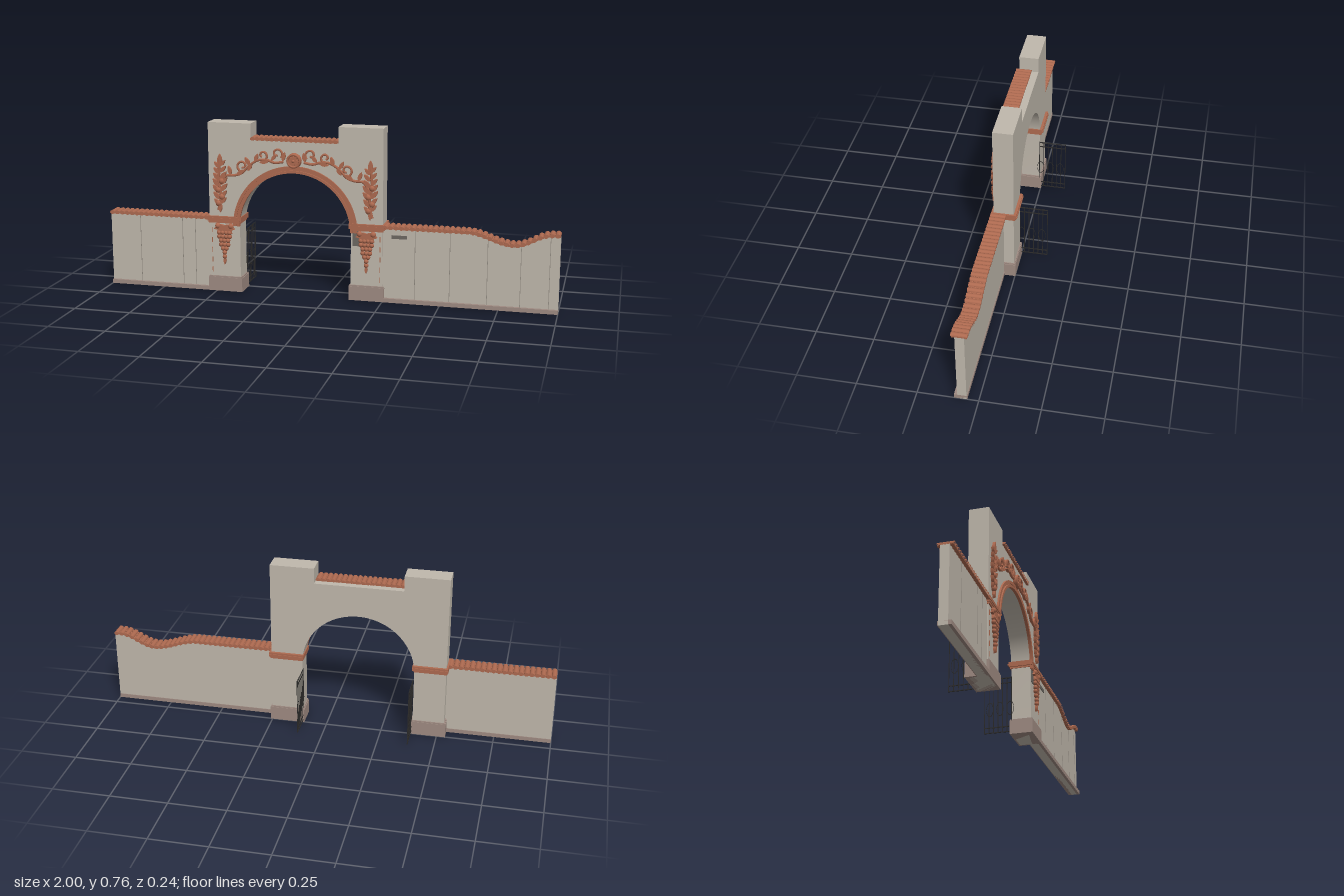
import * as THREE from 'three';
import { toCreasedNormals } from 'three/addons/utils/BufferGeometryUtils.js';

const mat = (name, color) => {
  const m = new THREE.MeshStandardMaterial({ color });
  m.name = name;
  return m;
};

export function createModel() {
  const root = new THREE.Group();
  root.name = 'archedGateway';
  const stucco = mat('stucco', 0xc0b8ac), stone = mat('baseStone', 0x9f8b82);
  const clay = mat('terracotta', 0xae6a50), iron = mat('iron', 0x2c2b2a);
  const slate = mat('slate', 0x6c6862), groove = mat('groove', 0x969086);
  const CX = -0.14, SPRING = 0.3, R = 0.25, FRONT = 0.092;

  const add = (parent, name, geo, material, x = 0, y = 0, z = 0) => {
    const m = new THREE.Mesh(geo, material);
    m.name = name;
    m.position.set(x, y, z);
    parent.add(m);
    return m;
  };
  // box given by its extents
  const box = (parent, name, material, x0, x1, y0, y1, z0, z1) =>
    add(parent, name, new THREE.BoxGeometry(x1 - x0, y1 - y0, z1 - z0), material,
      (x0 + x1) / 2, (y0 + y1) / 2, (z0 + z1) / 2);
  const extrude = (shape, depth, curveSegments = 12) => toCreasedNormals(
    new THREE.ExtrudeGeometry(shape, { depth, bevelEnabled: false, curveSegments }), 0.5);
  const group = name => {
    const g = new THREE.Group();
    g.name = name;
    root.add(g);
    return g;
  };

  // arch body with two raised shoulders
  const body = new THREE.Shape();
  body.moveTo(-0.53, 0);
  body.lineTo(CX - R, 0);
  body.lineTo(CX - R, SPRING);
  body.absarc(CX, SPRING, R, Math.PI, 0, true);
  body.lineTo(CX + R, 0);
  [[0.25, 0], [0.25, 0.757], [0.055, 0.757], [0.055, 0.688], [-0.335, 0.688], [-0.335, 0.757], [-0.53, 0.757]]
    .forEach(([x, y]) => body.lineTo(x, y));
  add(root, 'archBody', extrude(body, 0.087, 40), stucco, 0, 0, 0.005);

  // moulded ring around the arch
  const ring = (name, r0, r1, depth) => {
    const s = new THREE.Shape();
    s.absarc(CX, SPRING, r1, 0, Math.PI, false);
    s.absarc(CX, SPRING, r0, Math.PI, 0, true);
    add(root, name, extrude(s, depth, 40), clay, 0, 0, FRONT - 0.002);
  };
  ring('archRingInner', 0.249, 0.26, 0.013);
  ring('archRingMiddle', 0.26, 0.266, 0.006);
  ring('archRingOuter', 0.266, 0.279, 0.01);

  // roof tiles: half barrels following a height function
  const tileRow = (name, x0, x1, z0, z1, top, count) => {
    const g = group(name), w = (x1 - x0) / count;
    const barrel = new THREE.CylinderGeometry(w * 0.46, w * 0.46, z1 - z0, 8, 1, false, -Math.PI / 2, Math.PI);
    barrel.rotateX(-Math.PI / 2);
    barrel.scale(1, 0.85, 1);
    for (let i = 0; i < count; i++) {
      const x = x0 + w * (i + 0.5);
      const slope = Math.atan2(top(x + w / 2) - top(x - w / 2), w);
      const pan = add(g, 'tilePan', new THREE.BoxGeometry(w / Math.cos(slope), 0.008, z1 - z0 - 0.006), clay,
        x, top(x), (z0 + z1) / 2);
      pan.rotation.z = slope;
      const t = add(g, 'tile', barrel, clay, x, top(x) + 0.002, (z0 + z1) / 2);
      t.rotation.z = slope;
      const under = add(g, 'tileLip', barrel, clay, x, top(x) - 0.002, (z0 + z1) / 2);
      under.rotation.z = slope + Math.PI;
      under.scale.set(0.7, 0.5, 0.98);
    }
  };
  tileRow('crestTiles', -0.335, 0.055, 0.035, 0.104, () => 0.691, 18);

  // side walls, the left one dipping in a wave
  const flat = () => 0.33;
  const wave = x => {
    if (x < 0.61) return 0.33;
    if (x < 0.81) return 0.307 + 0.023 * Math.cos((x - 0.61) / 0.2 * Math.PI);
    if (x < 0.97) return 0.31 - 0.026 * Math.cos((x - 0.81) / 0.16 * Math.PI);
    return 0.336;
  };
  const wall = (name, x0, x1, top, tiles, joints) => {
    const s = new THREE.Shape();
    s.moveTo(x0, 0);
    s.lineTo(x1, 0);
    for (let i = 0; i <= 40; i++) {
      const x = x1 + (x0 - x1) * i / 40;
      s.lineTo(x, top(x) - 0.002);
    }
    add(root, name, extrude(s, 0.038), stucco, 0, 0, 0.049);
    box(root, name + 'Plinth', stone, x0, x1, 0, 0.018, 0.046, 0.1);
    tileRow(name + 'Tiles', x0, x1, 0.036, 0.103, top, tiles);
    joints.forEach(x => box(root, name + 'Joint', groove, x - 0.0012, x + 0.0012, 0.018, top(x) - 0.006, 0.086, 0.0878));
  };
  wall('rightWall', -1, -0.53, flat, 20, [-0.86, -0.66, -0.6]);
  wall('leftWall', 0.25, 1, wave, 32, [0.39, 0.54, 0.7, 0.84, 0.96]);
  box(root, 'wallPlaque', slate, 0.287, 0.355, 0.283, 0.298, 0.086, 0.0905);
  box(root, 'pillarPanel', slate, 0.118, 0.15, 0.242, 0.31, 0.091, 0.095);

  // carved ornament pieces
  const leafShape = new THREE.Shape();
  leafShape.moveTo(0, 0);
  leafShape.quadraticCurveTo(0.32, 0.45, 0, 1);
  leafShape.quadraticCurveTo(-0.32, 0.45, 0, 0);
  const leafGeo = extrude(leafShape, 1, 6);
  const leaf = (g, x, y, len, angle, wide = 1, depth = 0.012) => {
    const m = add(g, 'leaf', leafGeo, clay, x, y, FRONT + 0.001);
    m.scale.set(len * wide, len, depth);
    m.rotation.z = angle;
  };
  const ball = new THREE.SphereGeometry(1, 10, 6);
  const bead = (g, name, x, y, r, z = 0.1) => {
    add(g, name, ball, clay, x, y, z).scale.set(r, r, Math.min(r, 0.011));
  };
  const vine = (g, s, pts, r) => add(g, 'vineStem', new THREE.TubeGeometry(new THREE.CatmullRomCurve3(
    pts.map(([x, y]) => new THREE.Vector3(CX + s * x, y, 0.1))), 36, r, 6), clay);
  // spiral scroll points around a centre
  const scroll = (cx, cy, r, a0, turn) => Array.from({ length: 9 }, (_, i) => {
    const t = i / 8, a = a0 + turn * t, q = r * (1 - 0.75 * t);
    return [cx + q * Math.cos(a), cy + q * Math.sin(a)];
  });

  for (const s of [-1, 1]) {
    const side = s > 0 ? 'left' : 'right';
    const px = CX + s * 0.32; // pillar axis
    const inner = CX + s * R, outer = CX + s * 0.39;
    const [a, b] = [Math.min(inner, outer), Math.max(inner, outer)];

    // pillar base and stepped capital
    box(root, side + 'PillarBase', stone, a - 0.008, b + 0.008, 0, 0.062, -0.002, 0.1);
    box(root, side + 'PillarBaseTop', stone, a - 0.005, b + 0.005, 0.062, 0.068, 0, 0.098);
    [[0.31, 0.318, 0.003], [0.318, 0.325, 0.008], [0.325, 0.333, 0.013], [0.333, 0.341, 0.01]].forEach(([y0, y1, o]) =>
      box(root, side + 'Capital', clay, a - Math.min(o, 0.008), b + Math.min(o, 0.008), y0, y1, 0.003 - o, 0.096 + o * 0.6));
    // row of small inlays near the outer edge
    for (let i = 0; i < 5; i++)
      box(root, side + 'Inlay', clay, outer - s * 0.011 - 0.0015, outer - s * 0.011 + 0.0015,
        0.085 + i * 0.045, 0.108 + i * 0.045, 0.09, 0.0945);

    // scrolling vine over the arch
    const v = group(side + 'Vine');
    vine(v, s, [[0.33, 0.49], [0.305, 0.525], [0.27, 0.528], [0.235, 0.54], [0.2, 0.575], [0.16, 0.6], [0.12, 0.602],
      [0.085, 0.592], [0.045, 0.598]], 0.006);
    vine(v, s, scroll(0.075, 0.632, 0.026, -2.4, -6), 0.005);
    vine(v, s, scroll(0.14, 0.622, 0.024, -1.6, -6), 0.005);
    vine(v, s, scroll(0.232, 0.572, 0.026, -1, 6), 0.005);
    [[0.05, 0.6, 0.04, -0.2], [0.1, 0.6, 0.035, -0.6], [0.175, 0.59, 0.04, -0.3], [0.2, 0.575, 0.04, 0.5],
      [0.19, 0.58, 0.035, 2.6], [0.26, 0.53, 0.045, -1], [0.285, 0.53, 0.04, 0.3], [0.11, 0.6, 0.045, 1.8]]
      .forEach(([x, y, l, r]) => leaf(v, CX + s * x, y, l, -s * r, 1.3));

    // upright foliage spray on the pillar head
    const spray = group(side + 'FoliageSpray'), fx = CX + s * 0.336;
    vine(spray, s, [[0.345, 0.37], [0.332, 0.43], [0.342, 0.5], [0.336, 0.6]], 0.006);
    leaf(spray, fx, 0.565, 0.055, 0, 1.2);
    for (let i = 0; i < 7; i++) {
      const y = 0.39 + i * 0.028, len = 0.05 - Math.abs(i - 2.5) * 0.004;
      leaf(spray, fx, y, len, 0.75, 1.3);
      leaf(spray, fx, y + 0.008, len, -0.75, 1.3);
    }
    [0.4, 0.43, 0.46, 0.5].forEach((y, i) => bead(spray, 'blossom', fx + (i % 2 ? 0.008 : -0.008), y, 0.014));
    leaf(spray, fx, 0.4, 0.04, Math.PI, 1.2);

    // tapering pendant below the capital
    const pendant = group(side + 'Pendant');
    [-1.25, -0.75, -0.3, 0.3, 0.75, 1.25].forEach(r => leaf(pendant, px, 0.3, 0.05, Math.PI + r, 1.4));
    [-1, 1].forEach(k => bead(pendant, 'rosette', px + k * 0.03, 0.298, 0.013));
    for (let row = 0; row < 7; row++) {
      const n = Math.max(1, 4 - Math.floor(row / 1.6));
      for (let i = 0; i < n; i++)
        bead(pendant, 'grape', px + (i - (n - 1) / 2) * 0.016, 0.268 - row * 0.018, 0.0105);
    }
    leaf(pendant, px, 0.158, 0.034, Math.PI, 1.1);

    // open iron gate leaf swung to the back
    const gate = group(side + 'Gate'), gx = inner - s * 0.004;
    [0.014, 0.038, 0.244, 0.267].forEach(y => box(gate, 'rail', iron, gx - 0.0015, gx + 0.0015, y - 0.002, y + 0.002, -0.117, 0.005));
    for (let i = 0; i < 7; i++) {
      const z = 0.006 - i * 0.0205;
      box(gate, 'bar', iron, gx - 0.0013, gx + 0.0013, 0.012, 0.271, z - 0.0013, z + 0.0013);
    }
    const hoop = new THREE.TorusGeometry(0.0155, 0.001, 5, 24).rotateY(Math.PI / 2);
    [0, -0.047, -0.093].forEach(z => add(gate, 'ovalHoop', hoop, iron, gx, 0.124, z).scale.set(1, 2.05, 1));
  }

  // central medallion with petals
  const medal = group('medallion');
  const disc = new THREE.CylinderGeometry(0.031, 0.033, 0.016, 24).rotateX(Math.PI / 2);
  add(medal, 'medallionDisc', disc, clay, CX, 0.604, 0.1);
  add(medal, 'medallionRim', new THREE.TorusGeometry(0.027, 0.005, 6, 24), clay, CX, 0.604, 0.108);
  for (let i = 0; i < 8; i++) leaf(medal, CX, 0.604, 0.023, i * Math.PI / 4, 1.6, 0.021);
  bead(medal, 'medallionBoss', CX, 0.604, 0.009, 0.109);

  return root;
}
